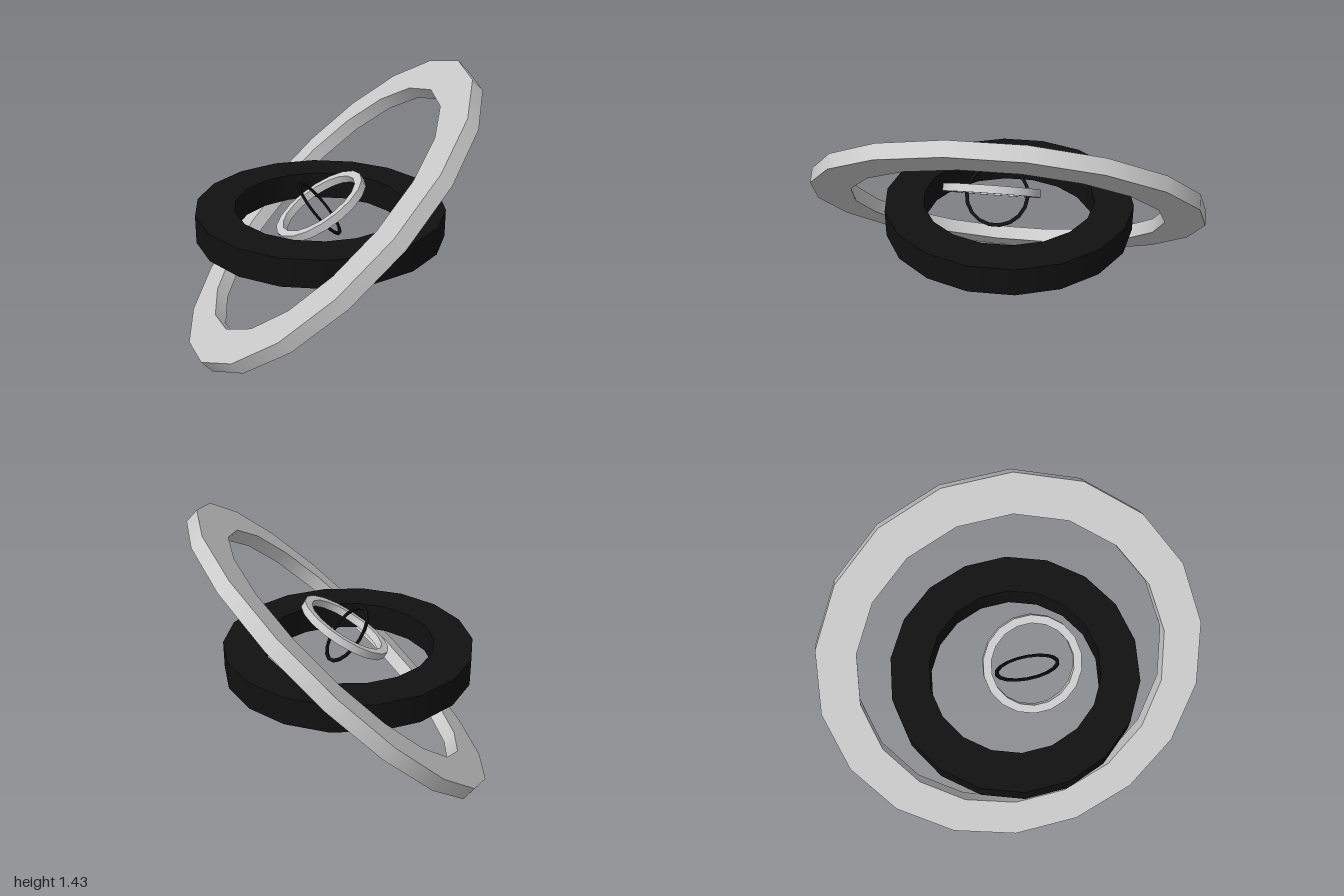
import * as THREE from 'three';
import { mergeGeometries } from 'three/addons/utils/BufferGeometryUtils.js';

const SIDES = 18;

// Flat band with a rectangular section: smooth walls, sharp rims.
function bandGeometry(outer, inner, height) {
  const h = height / 2;
  const corners = [[outer, -h], [outer, h], [inner, h], [inner, -h]]
    .map(([r, y]) => new THREE.Vector2(r, y));
  return mergeGeometries(corners.map((p, i) =>
    new THREE.LatheGeometry([p, corners[(i + 1) % 4]], SIDES)));
}

export function createModel() {
  const silver = new THREE.MeshStandardMaterial({ color: 0xcccccc });
  silver.name = 'silver grey';
  const black = new THREE.MeshStandardMaterial({ color: 0x111111 });
  black.name = 'black';

  // Nested rings, each tilted about the z axis
  const rings = [
    { name: 'outerRing', size: [1, 0.8, 0.075], at: [0, 0.717, 0], tilt: 44.5, material: silver },
    { name: 'flatRing', size: [0.64, 0.44, 0.146], at: [-0.034, 0.667, 0], tilt: 0, material: black },
    { name: 'smallRing', size: [0.255, 0.213, 0.04], at: [-0.037, 0.77, 0.09], tilt: 32.6, material: silver },
    { name: 'thinRing', size: [0.168, 0.15, 0.01], at: [-0.04, 0.745, 0.062], tilt: -50, material: black },
  ];

  const model = new THREE.Group();
  model.name = 'nestedRings';
  for (const { name, size, at, tilt, material } of rings) {
    const ring = new THREE.Mesh(bandGeometry(...size), material);
    ring.name = name;
    ring.position.set(...at);
    ring.rotation.z = THREE.MathUtils.degToRad(tilt);
    model.add(ring);
  }
  return model;
}
